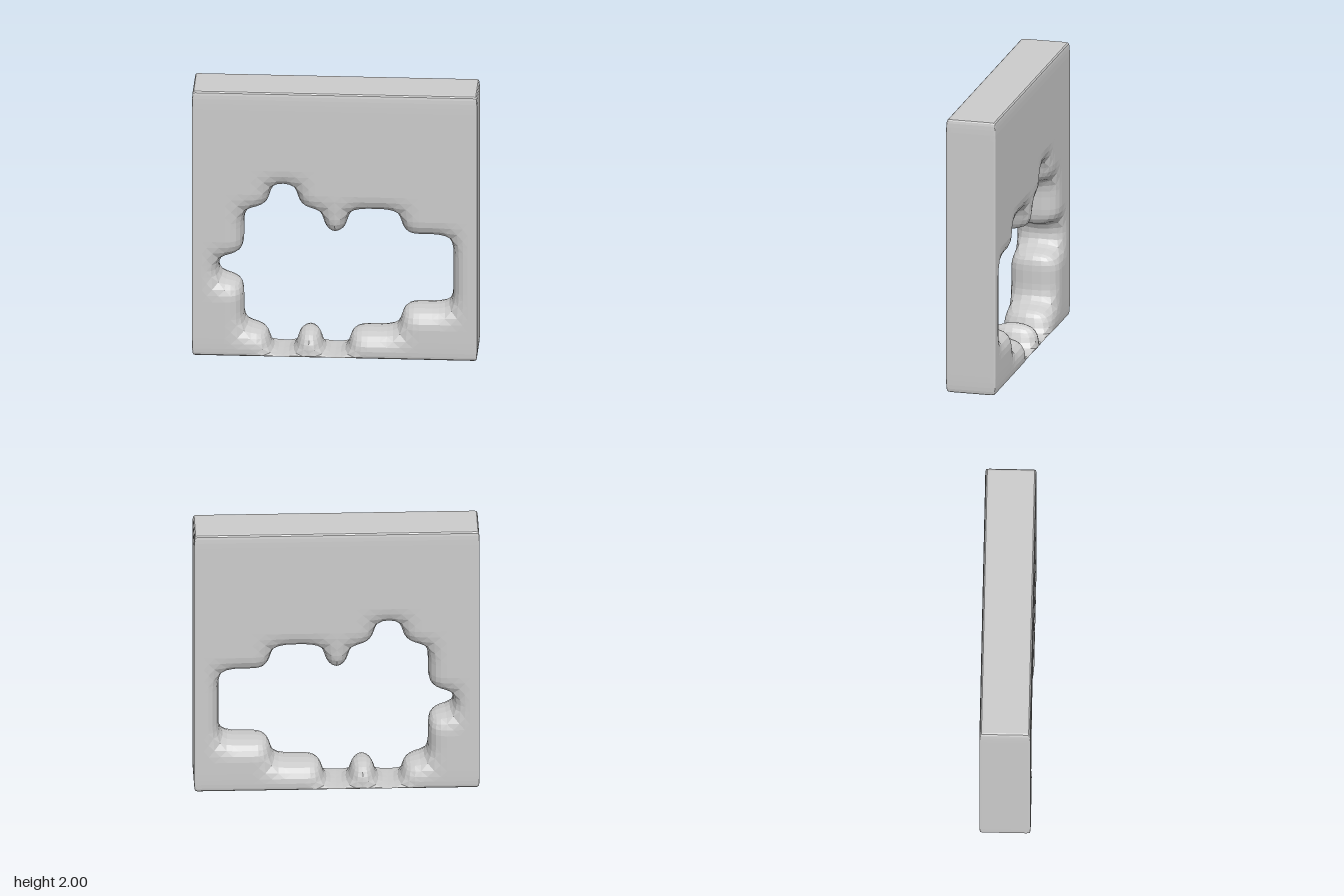
import * as THREE from 'three';
import { mergeVertices } from 'three/addons/utils/BufferGeometryUtils.js';

const N = 11, CELL = 2 / N, DEPTH = 0.18, RIM = 0.16, SIDE = 0.98;

// Open cells of the ragged hole: column -> [first row, last row]
const OPEN = { 1: [3, 3], 2: [1, 5], 3: [0, 6], 4: [1, 5], 5: [0, 4], 6: [1, 5], 7: [1, 5], 8: [2, 4], 9: [2, 4] };

// Coarse quad cage: a slab of cells, with holding lines near the outer edges
function buildCage() {
  const xs = [-1, -SIDE];
  for (let i = 1; i < N; i++) xs.push(-1 + i * CELL);
  xs.push(SIDE, 1);
  const cols = xs.length - 1;
  const points = [], faces = [], lookup = new Map();
  const vert = (i, j, z) => {
    const key = `${i},${j},${z}`;
    if (!lookup.has(key)) {
      lookup.set(key, points.length);
      points.push(new THREE.Vector3(xs[i], j * CELL, z));
    }
    return lookup.get(key);
  };
  const isOpen = (i, j) => {
    const span = OPEN[i - 1];
    return !!span && j >= span[0] && j <= span[1];
  };
  const wall = (a, b, zs) => {
    for (let k = 0; k + 1 < zs.length; k++) {
      faces.push([vert(...b, zs[k]), vert(...a, zs[k]), vert(...a, zs[k + 1]), vert(...b, zs[k + 1])]);
    }
  };
  const outerDepths = [DEPTH, RIM, -RIM, -DEPTH], holeDepths = [DEPTH, -DEPTH];

  for (let i = 0; i < cols; i++) for (let j = 0; j < N; j++) {
    const c = [[i, j], [i + 1, j], [i + 1, j + 1], [i, j + 1]];
    const open = isOpen(i, j);
    if (!open) {
      faces.push(c.map(p => vert(...p, DEPTH)));
      faces.push(c.map(p => vert(...p, -DEPTH)).reverse());
    }
    [[0, -1], [1, 0], [0, 1], [-1, 0]].forEach(([di, dj], k) => {
      const a = c[k], b = c[(k + 1) % 4], ni = i + di, nj = j + dj;
      const outside = ni < 0 || nj < 0 || ni >= cols || nj >= N;
      if (outside) {
        wall(a, b, outerDepths);
        if (open) wall(b, a, holeDepths); // floor of a notch that reaches the base
      } else if (!open && isOpen(ni, nj)) wall(a, b, holeDepths);
    });
  }
  return { points, faces };
}

// One round of smooth quad subdivision on a closed cage
function subdivide({ points, faces }) {
  const out = points.map(() => new THREE.Vector3());
  const info = points.map(() => ({ n: 0, f: new THREE.Vector3(), r: new THREE.Vector3() }));
  const edges = new Map(), quads = [];
  const edgeOf = (a, b) => {
    const key = a < b ? `${a},${b}` : `${b},${a}`;
    if (!edges.has(key)) {
      edges.set(key, { index: out.length, sum: points[a].clone().add(points[b]), n: 2 });
      out.push(new THREE.Vector3());
    }
    return edges.get(key);
  };
  for (const face of faces) {
    const centre = new THREE.Vector3();
    face.forEach(v => centre.addScaledVector(points[v], 0.25));
    const ci = out.push(centre) - 1;
    const ring = face.map((v, k) => {
      const w = face[(k + 1) % 4], e = edgeOf(v, w);
      e.sum.add(centre);
      e.n++;
      info[v].n++;
      info[v].f.add(centre);
      // each edge is met twice, so half of its midpoint goes to each end
      const half = points[v].clone().add(points[w]).multiplyScalar(0.25);
      info[v].r.add(half);
      info[w].r.add(half);
      return e.index;
    });
    face.forEach((v, k) => quads.push([v, ring[k], ci, ring[(k + 3) % 4]]));
  }
  edges.forEach(e => out[e.index].copy(e.sum).divideScalar(e.n));
  points.forEach((p, v) => {
    const { n, f, r } = info[v];
    out[v].copy(p).multiplyScalar((n - 3) / n).addScaledVector(f, 1 / (n * n)).addScaledVector(r, 2 / (n * n));
  });
  return { points: out, faces: quads };
}

export function createModel() {
  let cage = buildCage();
  for (let k = 0; k < 2; k++) cage = subdivide(cage);

  const geometry = new THREE.BufferGeometry().setFromPoints(cage.points);
  geometry.setIndex(cage.faces.flatMap(([a, b, c, d]) => [a, b, c, a, c, d]));
  const merged = mergeVertices(geometry);
  merged.computeVertexNormals();

  // Wall slab with the broken opening
  const wall = new THREE.Mesh(merged, new THREE.MeshStandardMaterial({
    color: 0xcccccc, flatShading: true, side: THREE.DoubleSide,
  }));
  wall.name = 'brokenWall';
  const group = new THREE.Group();
  group.name = 'wallWithHole';
  group.add(wall);
  return group;
}
